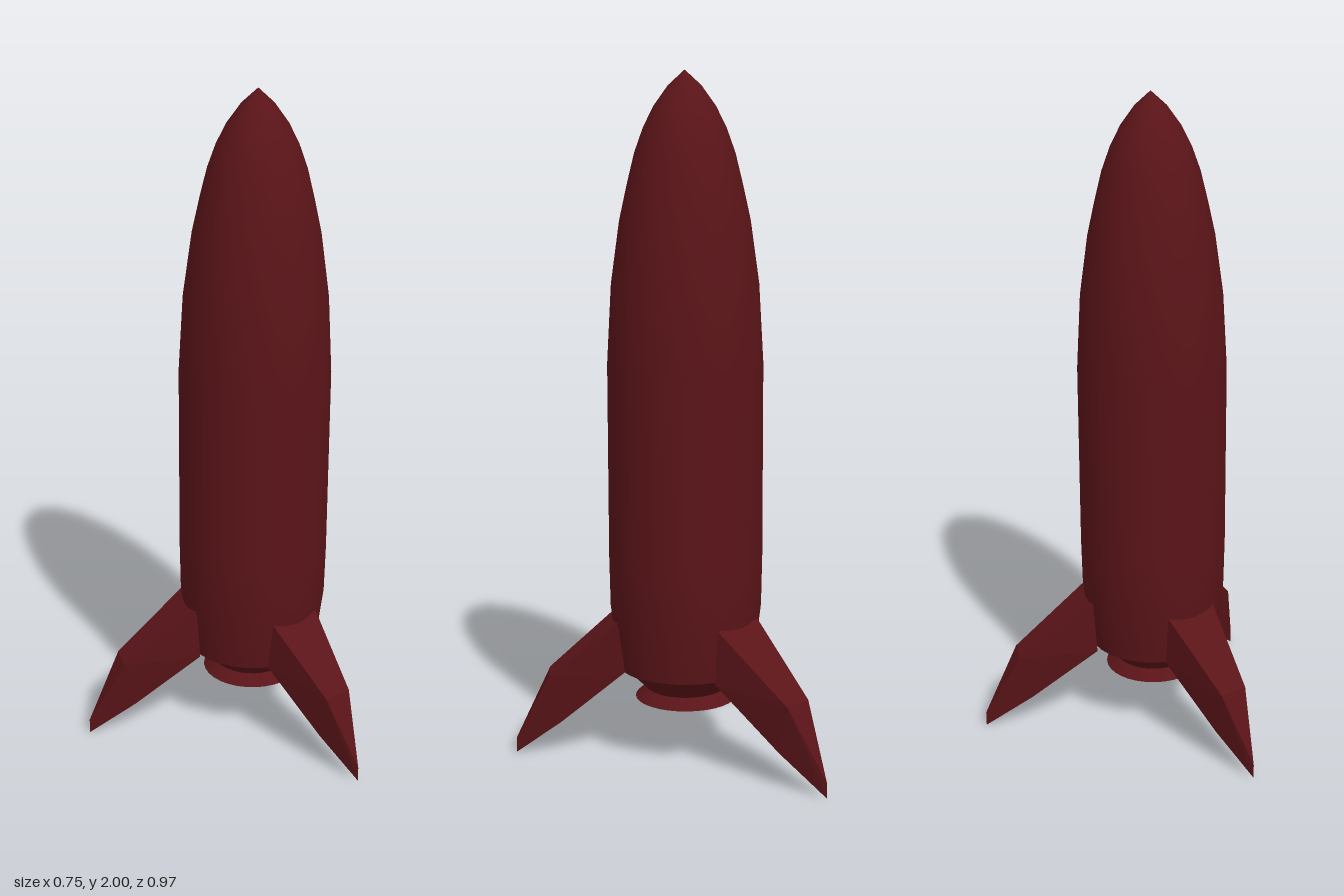
import * as THREE from 'three';
import { ConvexGeometry } from 'three/addons/geometries/ConvexGeometry.js';

const paint = { color: 0x5a1418 };

function lathe(name, profile, material) {
  const points = profile.map(([r, y]) => new THREE.Vector2(r, y));
  const mesh = new THREE.Mesh(new THREE.LatheGeometry(points, 32), material);
  mesh.name = name;
  return mesh;
}

// Swept-back leg fin along +x: wide at the root, narrowing to a blade tip
function finGeometry() {
  const stations = [ // distance out, height, half width
    [0.2, 0.43, 0.085], [0.42, 0.25, 0.045], [0.525, 0.045, 0],
    [0.525, 0, 0], [0.385, 0.105, 0.038], [0.19, 0.27, 0.085],
  ];
  const points = [];
  for (const [r, y, w] of stations) {
    points.push(new THREE.Vector3(r, y, w));
    if (w > 0) points.push(new THREE.Vector3(r, y, -w));
  }
  return new ConvexGeometry(points);
}

export function createModel() {
  const smooth = new THREE.MeshStandardMaterial({ ...paint, side: THREE.DoubleSide });
  const flat = new THREE.MeshStandardMaterial({ ...paint, flatShading: true });
  const rocket = new THREE.Group();
  rocket.name = 'rocket';

  // Hull with pointed nose
  rocket.add(lathe('hull', [
    [0.2, 0.27], [0.222, 0.45], [0.225, 0.6], [0.225, 1.17], [0.212, 1.4],
    [0.187, 1.58], [0.165, 1.68], [0.143, 1.77], [0.118, 1.84], [0.088, 1.9],
    [0.047, 1.957], [0, 2],
  ], smooth));

  // Underside, narrowing to the engine
  rocket.add(lathe('hullBase', [[0.115, 0.2], [0.165, 0.25], [0.2, 0.27]], smooth));

  // Flared nozzle with a hollow end
  rocket.add(lathe('nozzle', [[0.15, 0.172], [0.115, 0.203]], smooth));
  rocket.add(lathe('nozzleCavity', [[0, 0.215], [0.07, 0.208], [0.115, 0.198], [0.148, 0.172]], smooth));

  // Three fins, slightly different in reach
  const fin = finGeometry();
  const placements = [
    ['rightFin', 180, 1], ['frontFin', -67, 0.963], ['backFin', 67, 1.04],
  ];
  for (const [name, degrees, reach] of placements) {
    const mesh = new THREE.Mesh(fin, flat);
    mesh.name = name;
    mesh.rotation.y = THREE.MathUtils.degToRad(degrees);
    mesh.scale.x = reach;
    rocket.add(mesh);
  }

  // Centre the footprint, as the fins are not evenly spread
  for (const part of rocket.children) part.position.set(0.15, 0, 0.022);
  return rocket;
}
